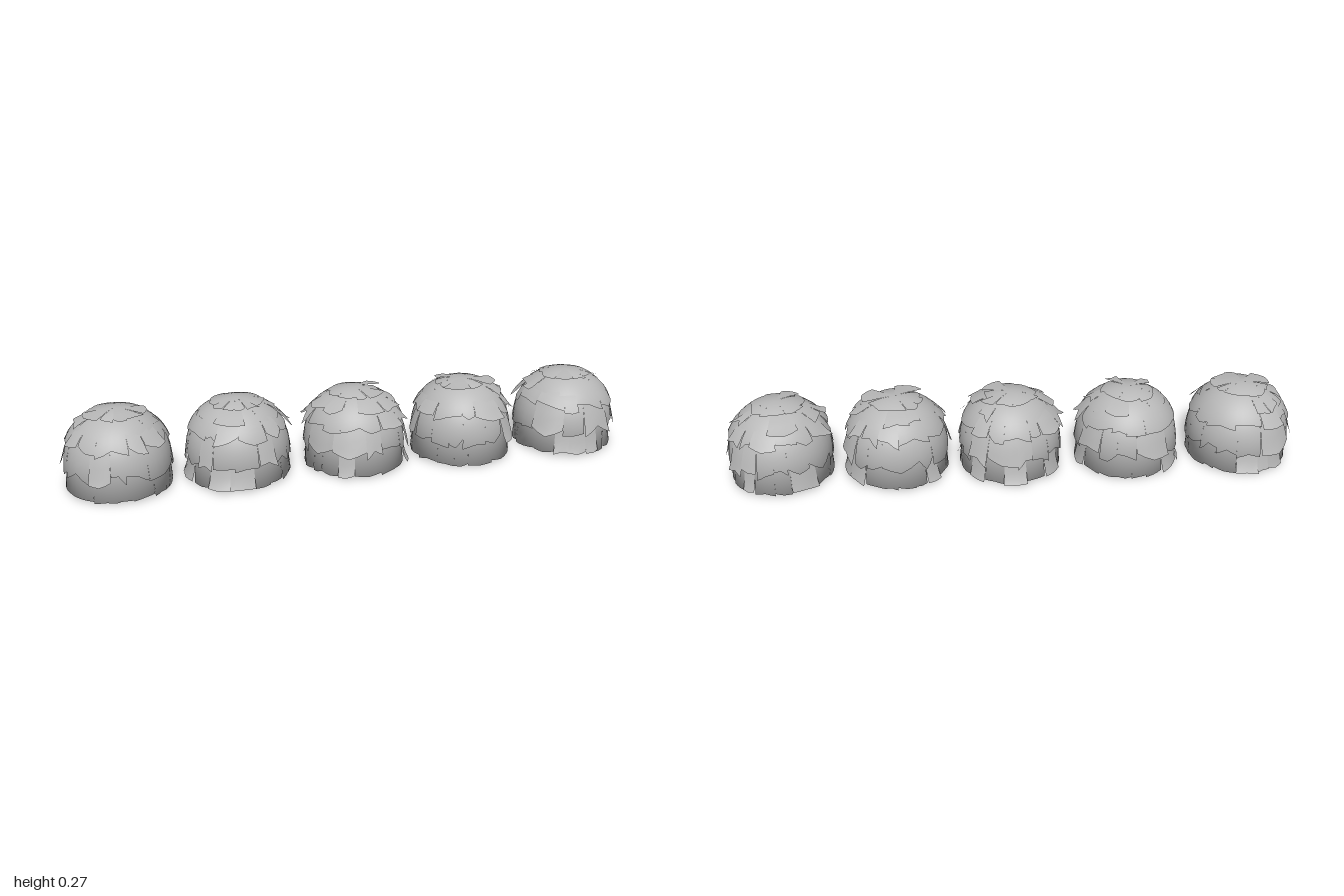
import * as THREE from 'three';
import { mergeGeometries } from 'three/addons/utils/BufferGeometryUtils.js';

// Small seeded random generator
function makeRandom(seed) {
  let s = seed;
  return () => {
    s = (s * 16807) % 2147483647;
    return s / 2147483647;
  };
}

// Overlapping fur layers: profile as [radius, height] from root to tip,
// number of tufts, and how ragged the lower edge is
const LAYERS = [
  { name: 'crownFur', profile: [[0, 0.276], [0.05, 0.271], [0.095, 0.258]], tufts: 9, ragged: 0.2 },
  { name: 'upperFur', profile: [[0.07, 0.262], [0.113, 0.243], [0.143, 0.215]], tufts: 12, ragged: 0.35 },
  { name: 'shoulderFur', profile: [[0.118, 0.238], [0.152, 0.205], [0.174, 0.16]], tufts: 14, ragged: 0.35 },
  { name: 'middleFur', profile: [[0.148, 0.205], [0.172, 0.14], [0.18, 0.065]], tufts: 14, ragged: 0.3 },
  { name: 'skirtFur', profile: [[0.163, 0.12], [0.172, 0.06], [0.175, 0.004]], tufts: 16, ragged: 0.14 },
];

// One tuft: a curved patch of the layer with a slanted or notched tip
function makeTuft(curve, start, width, tip, kick) {
  const cols = 4, rows = 5;
  const positions = [], normals = [], index = [];
  for (let i = 0; i <= cols; i++) {
    const u = i / cols;
    const phi = start + width * u;
    const length = u < 0.5
      ? THREE.MathUtils.lerp(tip[0], tip[1], u * 2)
      : THREE.MathUtils.lerp(tip[1], tip[2], u * 2 - 1);
    for (let j = 0; j <= rows; j++) {
      const t = (j / rows) * length;
      const p = curve.getPoint(t);
      const lift = kick * t * t * t;
      const r = Math.min(p.x + lift, 0.202);
      const y = Math.max(p.y + lift * 0.3, 0);
      positions.push(r * Math.sin(phi), y, r * Math.cos(phi));
      const n = new THREE.Vector3(p.x * Math.sin(phi), p.y - 0.1, p.x * Math.cos(phi)).normalize();
      normals.push(n.x, n.y, n.z);
      if (i < cols && j < rows) {
        const a = i * (rows + 1) + j, c = a + rows + 1;
        index.push(a, a + 1, c, a + 1, c + 1, c);
      }
    }
  }
  const geometry = new THREE.BufferGeometry();
  geometry.setAttribute('position', new THREE.Float32BufferAttribute(positions, 3));
  geometry.setAttribute('normal', new THREE.Float32BufferAttribute(normals, 3));
  geometry.setIndex(index);
  if (kick > 0.01) geometry.computeVertexNormals();
  return geometry;
}

// One ring of tufts of uneven width
function makeLayer(layer, random) {
  const curve = new THREE.SplineCurve(layer.profile.map(([r, y]) => new THREE.Vector2(r, y)));
  const widths = Array.from({ length: layer.tufts }, () => 0.55 + random());
  const total = widths.reduce((a, b) => a + b, 0);
  const pieces = [];
  let angle = random() * Math.PI * 2;
  for (const w of widths) {
    const width = (w / total) * Math.PI * 2;
    const tip = [0, 1, 2].map(() => 1 - layer.ragged * random());
    const kick = random() < 0.3 ? 0.012 + 0.014 * random() : 0.005 * random();
    pieces.push(makeTuft(curve, angle, width, tip, kick));
    angle += width;
  }
  return mergeGeometries(pieces);
}

// Hollow round body, open underneath
function makeBody() {
  const points = [];
  const bottom = -0.62;
  for (let i = 0; i <= 20; i++) {
    const a = THREE.MathUtils.lerp(bottom, Math.PI / 2, i / 20);
    points.push(new THREE.Vector2(Math.max(0.166 * Math.cos(a), 0), 0.107 + 0.166 * Math.sin(a)));
  }
  return new THREE.LatheGeometry(points, 40);
}

export function createModel() {
  const model = new THREE.Group();
  model.name = 'furryDomeRow';
  const fur = new THREE.MeshStandardMaterial({ color: 0xb8b8b8, side: THREE.DoubleSide });
  fur.name = 'greyFur';
  const bodyGeometry = makeBody();

  [-0.805, -0.402, 0.01, 0.405, 0.805].forEach((x, k) => {
    const dome = new THREE.Group();
    dome.name = `dome${k + 1}`;
    dome.position.x = x;
    const random = makeRandom(7919 * (k + 1) + 13);

    const body = new THREE.Mesh(bodyGeometry, fur);
    body.name = 'body';
    dome.add(body);

    for (const layer of LAYERS) {
      const mesh = new THREE.Mesh(makeLayer(layer, random), fur);
      mesh.name = layer.name;
      dome.add(mesh);
    }
    model.add(dome);
  });
  return model;
}
